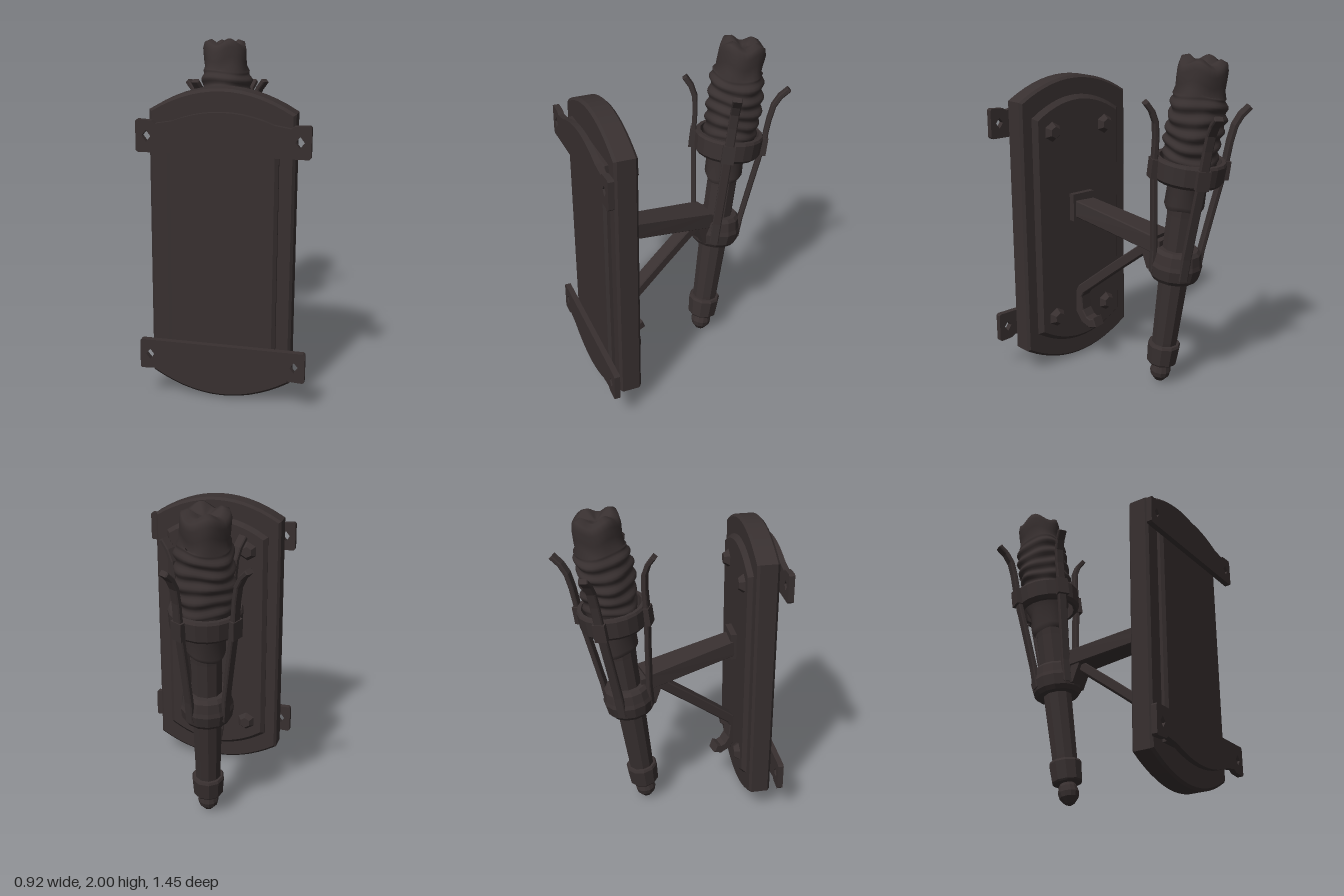
import * as THREE from 'three';
import { mergeVertices } from 'three/addons/utils/BufferGeometryUtils.js';

const iron = new THREE.MeshStandardMaterial({ color: 0x383030 });
iron.name = 'dark iron brown';

function add(parent, name, geometry, x = 0, y = 0, z = 0) {
  const mesh = new THREE.Mesh(geometry, iron);
  mesh.name = name;
  mesh.position.set(x, y, z);
  parent.add(mesh);
  return mesh;
}

function group(parent, name) {
  const g = new THREE.Group();
  g.name = name;
  parent.add(g);
  return g;
}

const vectors = (pts) => pts.map(([x, y]) => new THREE.Vector2(x, y));

// Faceted lathe for forged parts
function turned(pts, sides) {
  const g = new THREE.LatheGeometry(vectors(pts), sides).toNonIndexed();
  g.computeVertexNormals();
  return g;
}

// Plate with straight sides and arched ends, depth centred on z = 0
function archedPlate(halfW, shoulder, peak, depth, bevel) {
  const s = new THREE.Shape();
  const w = halfW - bevel, a = shoulder - bevel, p = peak - bevel;
  s.moveTo(-w, -a);
  s.quadraticCurveTo(0, a - 2 * p, w, -a);
  s.lineTo(w, a);
  s.quadraticCurveTo(0, 2 * p - a, -w, a);
  s.closePath();
  const g = new THREE.ExtrudeGeometry(s, {
    depth: depth - 2 * bevel, bevelSize: bevel, bevelThickness: bevel, bevelSegments: 1, curveSegments: 14,
  });
  return g.translate(0, 0, bevel - depth / 2);
}

// Flat bar following a path in the xy plane, width along z
function bar(path, thickness, width) {
  const p = vectors(path), left = [], right = [];
  p.forEach((c, i) => {
    const t = p[Math.min(i + 1, p.length - 1)].clone().sub(p[Math.max(i - 1, 0)]).normalize();
    const n = new THREE.Vector2(-t.y, t.x).multiplyScalar(thickness / 2);
    left.push(c.clone().add(n));
    right.unshift(c.clone().sub(n));
  });
  const b = 0.006;
  const g = new THREE.ExtrudeGeometry(new THREE.Shape([...left, ...right]), {
    depth: width - 2 * b, bevelSize: b, bevelOffset: -b, bevelThickness: b, bevelSegments: 1,
  });
  return g.translate(0, 0, b - width / 2);
}

// Mounting strap with arched upper edge and a diamond hole in each tab
function strapGeometry() {
  const s = new THREE.Shape();
  s.moveTo(-0.48, -0.08);
  s.lineTo(-0.47, -0.09);
  s.lineTo(0.47, -0.09);
  s.lineTo(0.48, -0.08);
  s.lineTo(0.48, 0.08);
  s.lineTo(0.47, 0.09);
  s.lineTo(0.39, 0.085);
  s.lineTo(0.37, 0.07);
  s.lineTo(0.28, 0.085);
  s.quadraticCurveTo(0, 0.2, -0.28, 0.085);
  s.lineTo(-0.37, 0.07);
  s.lineTo(-0.39, 0.085);
  s.lineTo(-0.47, 0.09);
  s.lineTo(-0.48, 0.08);
  s.closePath();
  for (const x of [-0.42, 0.42]) {
    s.holes.push(new THREE.Path(vectors([[x - 0.025, 0], [x, 0.032], [x + 0.025, 0], [x, -0.032]])));
  }
  return new THREE.ExtrudeGeometry(s, { depth: 0.035, bevelEnabled: false, curveSegments: 10 });
}

// Wrapped cloth: ridged lathe with folds pushed in and out
function clothGeometry() {
  const pts = [[0.1, 1.13], [0.115, 1.16], [0.112, 1.28], [0.14, 1.34]];
  for (let i = 0; i <= 32; i++) {
    const t = i / 32;
    pts.push([0.152 + 0.008 * Math.sin(t * Math.PI) + 0.009 * Math.sin(t * 31), 1.42 + t * 0.38]);
  }
  pts.push([0.135, 1.82], [0.136, 1.87], [0.138, 1.93], [0.128, 1.97], [0.09, 1.985], [0.04, 1.96], [0, 1.95]);
  let g = new THREE.LatheGeometry(vectors(pts), 32);
  g.deleteAttribute('uv');
  g.deleteAttribute('normal');
  g = mergeVertices(g, 1e-4);
  const p = g.attributes.position;
  for (let i = 0; i < p.count; i++) {
    const x = p.getX(i), y = p.getY(i), z = p.getZ(i), a = Math.atan2(x, z);
    const k = 1 + 0.03 * Math.sin(3 * a + y * 13) + 0.025 * Math.sin(5 * a - y * 21);
    const wave = y > 1.8 ? 0.018 * Math.sin(4 * a + 1) : 0.012 * Math.sin(2 * a + y * 9);
    p.setXYZ(i, x * k, y + wave * Math.min(1, Math.hypot(x, z) / 0.1), z * k);
  }
  g.computeVertexNormals();
  return g;
}

function buildMount(root) {
  const mount = group(root, 'wallMount');
  mount.position.set(0.02, 0.925, 0.43);
  mount.rotation.y = -0.337;
  add(mount, 'backBoard', archedPlate(0.405, 0.785, 0.905, 0.134, 0.015));
  add(mount, 'raisedPanel', archedPlate(0.328, 0.69, 0.79, 0.06, 0.025), 0, 0, -0.067);
  const inset = new THREE.Shape(vectors([[-0.29, -0.7], [0.29, -0.7], [0.29, 0.7], [-0.29, 0.7]]));
  add(mount, 'frontPanel', new THREE.ExtrudeGeometry(inset, {
    depth: 0.02, bevelSize: 0.02, bevelThickness: 0.015, bevelSegments: 1,
  }), 0.01, 0, 0.066);
  for (const s of [1, -1]) {
    const strap = add(mount, s > 0 ? 'upperStrap' : 'lowerStrap', strapGeometry(), 0.018, s * 0.645, 0.1);
    if (s < 0) strap.rotation.z = Math.PI;
    for (const x of [-0.205, 0.2]) {
      const bolt = add(mount, 'bolt', new THREE.CylinderGeometry(0.035, 0.062, 0.036, 6).toNonIndexed(), x, s * 0.59, -0.113);
      bolt.geometry.computeVertexNormals();
      bolt.rotation.x = -Math.PI / 2;
    }
  }
  add(mount, 'armBase', new THREE.BoxGeometry(0.16, 0.17, 0.05), 0, 0.105, -0.11);
}

function buildBracket(root) {
  const bracket = group(root, 'bracket');
  bracket.position.set(0.05, 0, 0.33);
  bracket.rotation.y = 1.44;
  // Arm widens toward the torch
  const arm = bar([[-0.06, 1.035], [0.3, 0.965], [0.6, 0.905]], 0.105, 0.14);
  const p = arm.attributes.position;
  for (let i = 0; i < p.count; i++) p.setZ(i, p.getZ(i) * (1 + 0.45 * Math.max(0, p.getX(i))));
  arm.computeVertexNormals();
  add(bracket, 'arm', arm);
  add(bracket, 'brace', bar([[0.54, 0.885], [0.27, 0.68], [0.02, 0.485], [-0.005, 0.44],
    [0.005, 0.34], [0.04, 0.285], [0.085, 0.265], [0.125, 0.28]], 0.06, 0.09));
  const lug = new THREE.Shape(vectors([[0.5, 0.89], [0.55, 0.75], [0.64, 0.74], [0.64, 0.93], [0.5, 0.95]]));
  add(bracket, 'ringLug', new THREE.ExtrudeGeometry(lug, { depth: 0.16, bevelEnabled: false }), 0, 0, -0.08);
}

function buildTorch(root) {
  const torch = group(root, 'torch');
  torch.position.set(0.132, 0, -0.257);
  torch.rotation.set(-0.134, 0, -0.008);
  torch.scale.y = 1.007;
  add(torch, 'shaft', turned([[0, 0.2], [0.074, 0.2], [0.078, 0.3], [0.09, 0.72], [0.092, 1.1], [0.105, 1.35], [0, 1.35]], 10));
  add(torch, 'finial', turned([[0, 0.005], [0.03, 0.02], [0.058, 0.055], [0.064, 0.085], [0.055, 0.12], [0.04, 0.145], [0, 0.145]], 12));
  add(torch, 'endCollar', turned([[0, 0.14], [0.085, 0.14], [0.092, 0.15], [0.1, 0.26], [0.092, 0.275], [0, 0.28]], 10));
  add(torch, 'lowerRing', turned([[0.08, 0.7], [0.13, 0.7], [0.148, 0.725], [0.158, 0.79], [0.15, 0.815], [0.14, 0.87], [0.12, 0.89], [0.08, 0.89]], 14));
  add(torch, 'upperRing', turned([[0.165, 1.3], [0.185, 1.3], [0.203, 1.32], [0.208, 1.42], [0.2, 1.435], [0.178, 1.435], [0.165, 1.3]], 20));
  add(torch, 'clothWrap', clothGeometry());
  // Four flared prongs set on the diagonals
  for (let i = 0; i < 4; i++) {
    const prong = add(torch, 'prong', bar([[0.14, 0.74], [0.148, 0.88], [0.178, 1.12], [0.212, 1.38], [0.222, 1.54],
      [0.236, 1.63], [0.265, 1.69], [0.31, 1.74]], 0.03, 0.055));
    prong.rotation.y = Math.PI / 4 + i * Math.PI / 2;
    const clasp = group(torch, 'clasp');
    clasp.rotation.y = prong.rotation.y;
    add(clasp, 'claspBlock', new THREE.BoxGeometry(0.045, 0.11, 0.075), 0.213, 1.37, 0);
  }
}

export function createModel() {
  const root = new THREE.Group();
  root.name = 'wallTorch';
  buildMount(root);
  buildBracket(root);
  buildTorch(root);
  return root;
}
